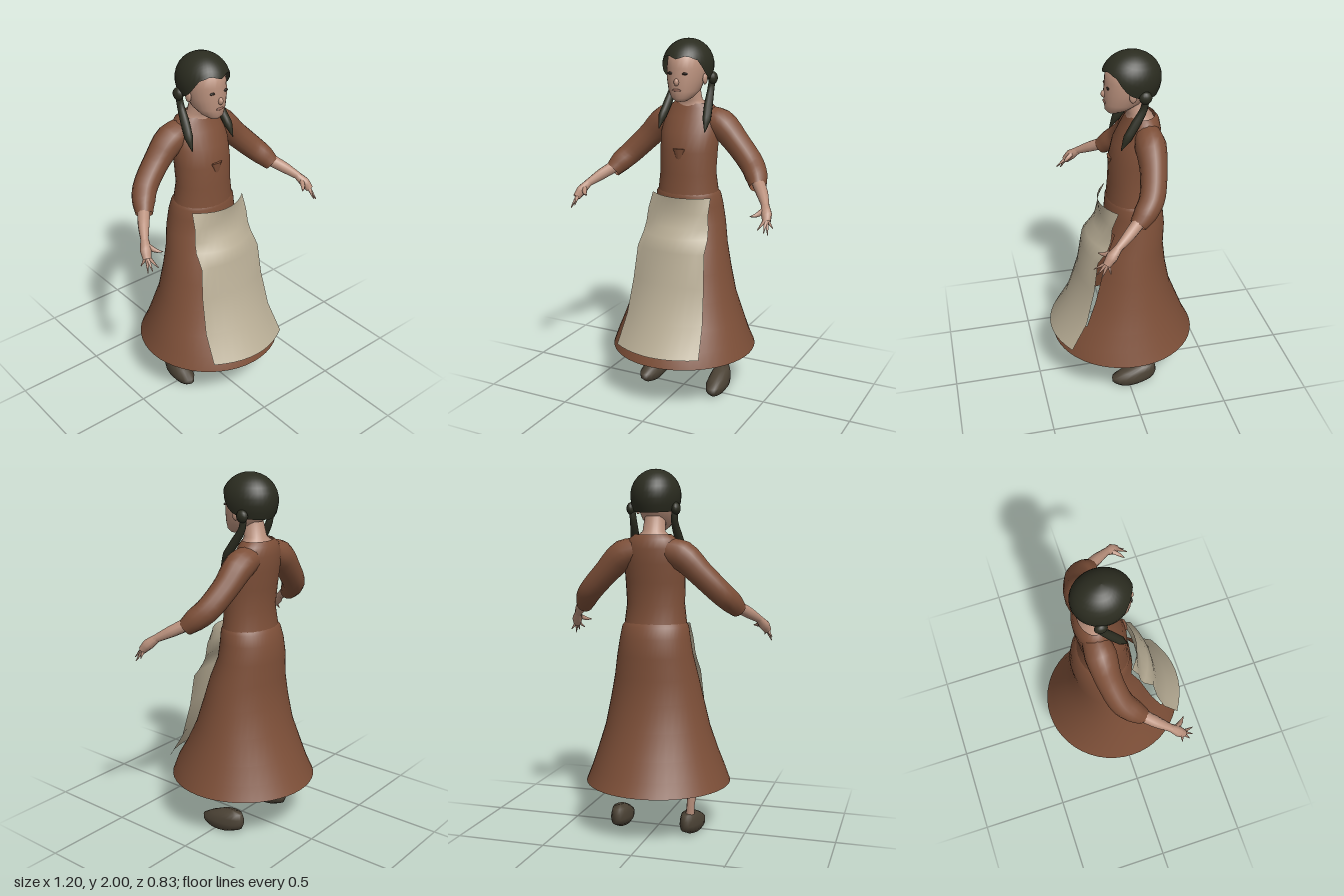
import * as THREE from 'three';

const mat = (name, color, side = THREE.FrontSide) => {
  const m = new THREE.MeshStandardMaterial({ color, side });
  m.name = name;
  return m;
};

// Skin a list of rows of points; closed rows wrap round, skip(i, j) leaves a face out
function skinRows(rows, closed = true, skip = () => false) {
  const n = rows[0].length, index = [];
  for (let i = 0; i < rows.length - 1; i++) {
    for (let j = 0; j < (closed ? n : n - 1); j++) {
      if (skip(i, j)) continue;
      const k = (j + 1) % n;
      const a = i * n + j, b = i * n + k, c = (i + 1) * n + k, d = (i + 1) * n + j;
      index.push(a, b, c, a, c, d);
    }
  }
  const g = new THREE.BufferGeometry().setFromPoints(rows.flat());
  g.setIndex(index);
  g.computeVertexNormals();
  return g;
}

// Horizontal elliptic sections, each [y, half width, front z, back z], bottom to top
function body(sections, n = 24, skip) {
  return skinRows(sections.map(([y, rx, zf, zb]) => Array.from({ length: n }, (_, j) => {
    const a = (j / n) * Math.PI * 2;
    return new THREE.Vector3(rx * Math.sin(a), y, (zf + zb) / 2 + (zf - zb) / 2 * Math.cos(a));
  })), true, skip);
}

// Tapered tube through points [x, y, z, radius]; s mirrors it across x
function limb(points, s = 1, n = 10, steps = 12) {
  const curve = new THREE.CatmullRomCurve3(points.map(p => new THREE.Vector3(p[0] * s, p[1], p[2])));
  const rows = [];
  for (let i = 0; i <= steps; i++) {
    const t = i / steps, f = t * (points.length - 1), k = Math.min(Math.floor(f), points.length - 2);
    const r = THREE.MathUtils.lerp(points[k][3], points[k + 1][3], f - k);
    const p = curve.getPoint(t), dir = curve.getTangent(t);
    const u = new THREE.Vector3(0, 0, 1).cross(dir).normalize();
    const v = dir.clone().cross(u);
    rows.push(Array.from({ length: n }, (_, j) => {
      const a = (j / n) * Math.PI * 2;
      return p.clone().addScaledVector(u, r * Math.cos(a)).addScaledVector(v, r * Math.sin(a));
    }));
  }
  return skinRows(rows);
}

export function createModel() {
  const model = new THREE.Group();
  const cloth = mat('brown cloth', 0x7d4f38, THREE.DoubleSide);
  const linen = mat('apron linen', 0xb9ae96, THREE.DoubleSide);
  const skin = mat('skin', 0xba917d, THREE.DoubleSide);
  const hair = mat('dark hair', 0x2b2c20, THREE.DoubleSide);
  const leather = mat('shoe leather', 0x4b4235);
  const eyeDark = mat('eye dark', 0x2a2019);
  const lip = mat('lip', 0x96695a);

  const add = (name, geometry, material, pos = [0, 0, 0], scale = [1, 1, 1]) => {
    const m = new THREE.Mesh(geometry, material);
    m.name = name;
    m.position.set(...pos);
    m.scale.set(...scale);
    model.add(m);
    return m;
  };
  const ball = new THREE.SphereGeometry(1, 14, 10);

  // Skirt, open at the front behind the apron
  add('skirt', body([
    [0.28, 0.405, 0.40, -0.415], [0.36, 0.375, 0.37, -0.375], [0.46, 0.34, 0.31, -0.335],
    [0.6, 0.295, 0.24, -0.28], [0.75, 0.262, 0.19, -0.25], [0.88, 0.235, 0.15, -0.235],
    [1.0, 0.212, 0.1, -0.24], [1.1, 0.195, 0.09, -0.23], [1.16, 0.185, 0.085, -0.21],
    [1.18, 0.17, 0.075, -0.195],
  ], 48, (i, j) => i >= 2 && i < 6 && (j < 5 || j >= 43)), cloth);

  // Apron: rows of [y, half width, centre x, centre z, side z]
  const apronRows = [
    [0.345, 0.25, 0.006, 0.42, 0.34], [0.5, 0.232, 0.003, 0.325, 0.25], [0.7, 0.215, 0.003, 0.25, 0.2],
    [0.88, 0.202, 0.005, 0.222, 0.175], [0.95, 0.196, 0.006, 0.195, 0.12], [1.0, 0.19, 0.007, 0.15, 0.1],
    [1.08, 0.182, 0.008, 0.122, 0.09], [1.165, 0.176, 0.012, 0.13, 0.055],
  ];
  add('apron', skinRows(apronRows.map(([y, w, cx, zc, zs]) => Array.from({ length: 11 }, (_, j) => {
    const t = j / 5 - 1;
    return new THREE.Vector3(cx + w * t, y, zc + (zs - zc) * t * t);
  })), false), linen);

  // Bodice with a small fold at the chest
  add('bodice', body([
    [1.17, 0.174, 0.08, -0.198], [1.28, 0.161, 0.07, -0.18], [1.4, 0.165, 0.066, -0.193],
    [1.5, 0.167, 0.042, -0.205], [1.58, 0.155, 0.0, -0.21], [1.63, 0.132, -0.025, -0.2],
    [1.655, 0.1, -0.035, -0.18],
  ], 28), cloth);
  const fold = add('chestFold', new THREE.ConeGeometry(0.035, 0.1, 8), cloth, [0, 1.37, 0.062], [1, 1, 0.35]);
  fold.rotation.x = Math.PI;

  // Neck and head
  add('neck', body([
    [1.6, 0.115, -0.02, -0.19], [1.645, 0.092, -0.03, -0.17], [1.67, 0.062, -0.03, -0.15],
    [1.75, 0.056, 0.0, -0.13],
  ]), skin);
  add('head', body([
    [1.672, 0.001, 0.045, 0.043], [1.676, 0.03, 0.068, 0.0], [1.695, 0.058, 0.084, -0.05],
    [1.73, 0.083, 0.088, -0.11], [1.79, 0.1, 0.09, -0.15], [1.85, 0.106, 0.085, -0.17],
    [1.91, 0.1, 0.08, -0.17], [1.965, 0.06, 0.02, -0.12],
  ]), skin);
  add('nose', ball, skin, [0, 1.78, 0.088], [0.014, 0.02, 0.017]);
  add('mouth', ball, lip, [0, 1.738, 0.087], [0.026, 0.007, 0.006]);

  // Hair cap: the lower edge peaks over the brow and drops to the nape
  const edge = a => {
    const d = Math.abs(a) * 180 / Math.PI;
    const keys = [[0, 1.9], [25, 1.918], [50, 1.895], [75, 1.81], [105, 1.775], [180, 1.768]];
    const k = Math.max(1, keys.findIndex(q => d <= q[0] + 1e-6));
    return THREE.MathUtils.mapLinear(d, keys[k - 1][0], keys[k][0], keys[k - 1][1], keys[k][1]);
  };
  add('hairCap', skinRows(Array.from({ length: 11 }, (_, i) => Array.from({ length: 36 }, (_, j) => {
    const a = (j / 36) * Math.PI * 2, low = edge(a > Math.PI ? a - Math.PI * 2 : a);
    const y = low + (2 - low) * Math.sin(i / 10 * Math.PI / 2);
    const h = (y - 1.86) / (y > 1.86 ? 0.14 : 0.17);
    const s = Math.sqrt(Math.max(0, 1 - h * h));
    return new THREE.Vector3(0.135 * s * Math.sin(a), y, -0.055 + 0.157 * s * Math.cos(a));
  }))), hair);

  for (const s of [1, -1]) {
    const side = s > 0 ? 'left' : 'right';

    // Face and hair details
    add(side + 'Eye', ball, eyeDark, [s * 0.042, 1.825, 0.077], [0.017, 0.007, 0.006]);
    add(side + 'Ear', ball, skin, [s * 0.106, 1.79, -0.04], [0.012, 0.03, 0.02]);
    add(side + 'HairTie', ball, hair, [s * 0.125, 1.79, -0.1], [0.024, 0.034, 0.034]);
    add(side + 'Pigtail', limb([[0.122, 1.8, -0.1, 0.018], [0.115, 1.73, -0.095, 0.019],
      [0.122, 1.65, -0.05, 0.024], [0.133, 1.58, -0.005, 0.023], [0.138, 1.515, 0.03, 0.002]], s), hair);

    // Sleeve, forearm and hand
    add(side + 'Sleeve', limb([[0.08, 1.57, -0.12, 0.07], [0.17, 1.54, -0.118, 0.083], [0.265, 1.45, -0.11, 0.07],
      [0.37, 1.345, -0.075, 0.066], [0.415, 1.295, -0.03, 0.061], [0.445, 1.25, 0.015, 0.045]], s, 14, 16), cloth);
    add(side + 'Forearm', limb([[0.42, 1.285, -0.02, 0.036], [0.49, 1.23, 0.07, 0.031],
      [0.54, 1.185, 0.145, 0.02]], s), skin);
    add(side + 'Palm', limb([[0.53, 1.195, 0.13, 0.02], [0.556, 1.155, 0.175, 0.03],
      [0.57, 1.12, 0.205, 0.022]], s, 8, 6), skin);
    const tips = [[0.59, 1.06, 0.235], [0.575, 1.075, 0.255], [0.545, 1.09, 0.265], [0.6, 1.085, 0.19]];
    tips.forEach((t, i) => add(side + 'Finger' + (i + 1),
      limb([[0.565, 1.135, 0.195, 0.016], [...t, 0.002]], s, 6, 3), skin));
    add(side + 'Thumb', limb([[0.545, 1.175, 0.16, 0.016], [0.515, 1.15, 0.205, 0.012],
      [0.488, 1.145, 0.23, 0.002]], s, 6, 5), skin);

    // Shoe
    const shoe = add(side + 'Shoe', body([
      [0.003, 0.001, -0.02, -0.022], [0.005, 0.04, 0.07, -0.1], [0.03, 0.058, 0.1, -0.155],
      [0.06, 0.06, 0.103, -0.168], [0.09, 0.052, 0.05, -0.166], [0.12, 0.04, -0.02, -0.155],
      [0.127, 0.001, -0.09, -0.092],
    ], 18), leather, [s * 0.21, 0, 0]);
    shoe.rotation.y = s * 0.08;
  }

  // The one bare ankle showing below the hem
  add('rightAnkle', limb([[-0.21, 0.1, -0.1, 0.026], [-0.215, 0.17, -0.105, 0.022],
    [-0.22, 0.228, -0.1, 0.026]], 1, 8, 5), skin);

  return model;
}
